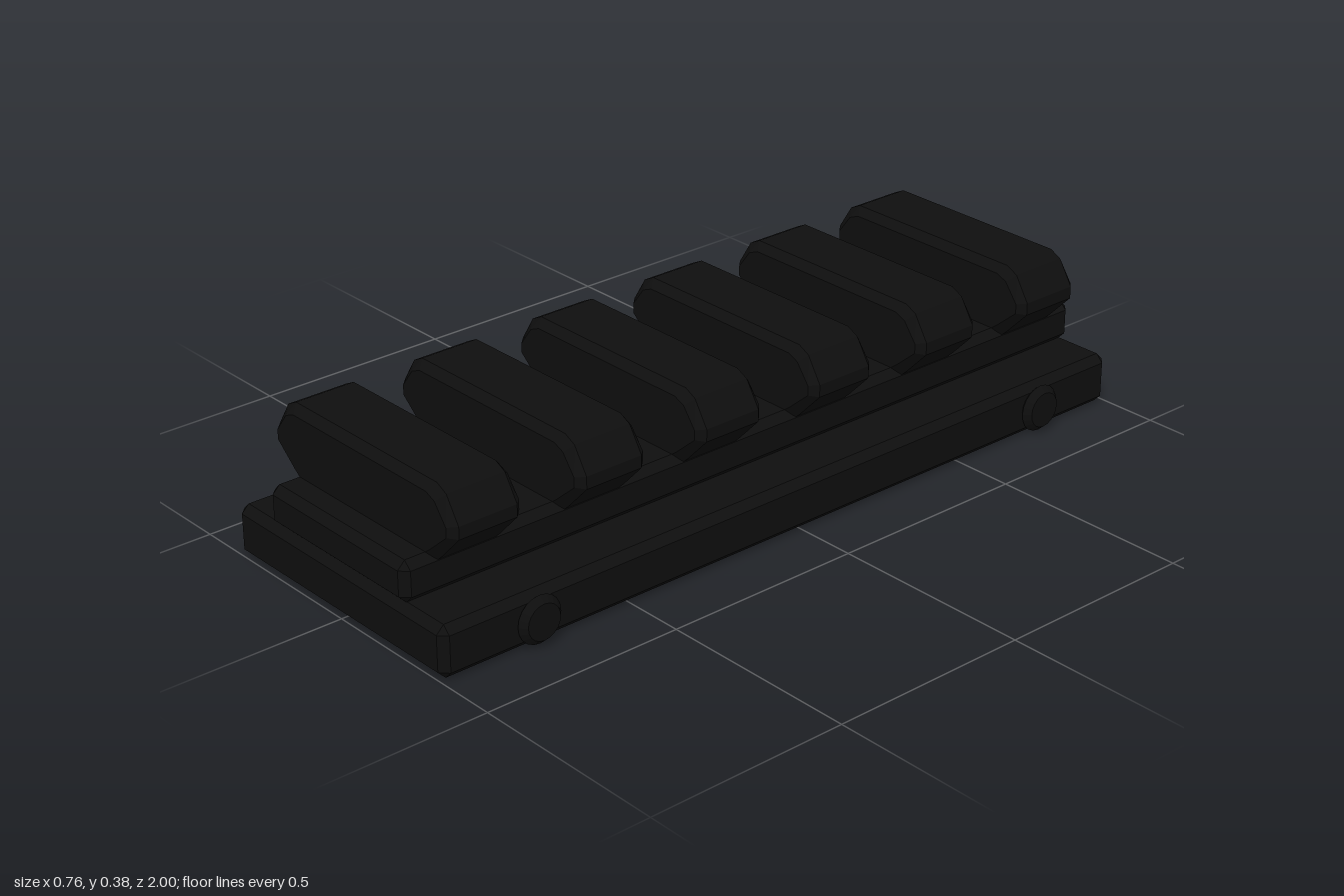
import * as THREE from 'three';
import { ConvexGeometry } from 'three/addons/geometries/ConvexGeometry.js';

const black = new THREE.MeshStandardMaterial({ color: 0x0e0e0e });
black.name = 'matte black';

// Box with every edge and corner cut at 45 degrees
function chamferBox(w, h, d, c) {
  const points = [];
  for (const x of [-1, 1]) for (const y of [-1, 1]) for (const z of [-1, 1]) {
    for (const [a, b, e] of [[0, c, c], [c, 0, c], [c, c, 0]]) {
      points.push(new THREE.Vector3(x * (w / 2 - a), y * (h / 2 - b), z * (d / 2 - e)));
    }
  }
  return new ConvexGeometry(points);
}

// Dovetail-shaped tooth: half profile mirrored in x, pulled in at both ends
function toothGeometry(depth, c) {
  const half = [[0.248, 0.385], [0.278, 0.37], [0.316, 0.31], [0.316, 0.28], [0.255, 0.217], [0.225, 0.19]];
  const points = [];
  for (const [x, y] of half) for (const sx of [-1, 1]) for (const sz of [-1, 1]) {
    points.push(new THREE.Vector3(sx * x, y, sz * (depth / 2 - c)));
    points.push(new THREE.Vector3(sx * x * 0.943, 0.2975 + (y - 0.2975) * 0.78, sz * depth / 2));
  }
  return new ConvexGeometry(points);
}

export function createModel() {
  const group = new THREE.Group();
  const add = (name, geometry, x, y, z) => {
    const mesh = new THREE.Mesh(geometry, black);
    mesh.name = name;
    mesh.position.set(x, y, z);
    group.add(mesh);
    return mesh;
  };
  const railX = -0.011;

  // Base plate and the narrower rail bar on it
  add('basePlate', chamferBox(0.737, 0.125, 2, 0.019), -0.0125, 0.0625, 0);
  add('railBar', chamferBox(0.484, 0.099, 2, 0.019), railX, 0.1725, 0);

  // Six cross teeth
  const tooth = toothGeometry(0.188, 0.019);
  for (let i = 0; i < 6; i++) add('tooth' + (i + 1), tooth, railX, 0, (i - 2.5) * 0.334);

  // Two bolt heads on the left edge
  const profile = [[0, 0.0125], [0.043, 0.0125], [0.0575, -0.004], [0.048, -0.0135], [0.048, -0.03]]
    .map(([r, y]) => new THREE.Vector2(r, y)).reverse();
  const bolt = new THREE.LatheGeometry(profile, 20).toNonIndexed();
  bolt.computeVertexNormals();
  for (const z of [-0.755, 0.755]) {
    add(z > 0 ? 'frontBolt' : 'backBolt', bolt, 0.3675, 0.0625, z).rotation.z = -Math.PI / 2;
  }
  return group;
}
